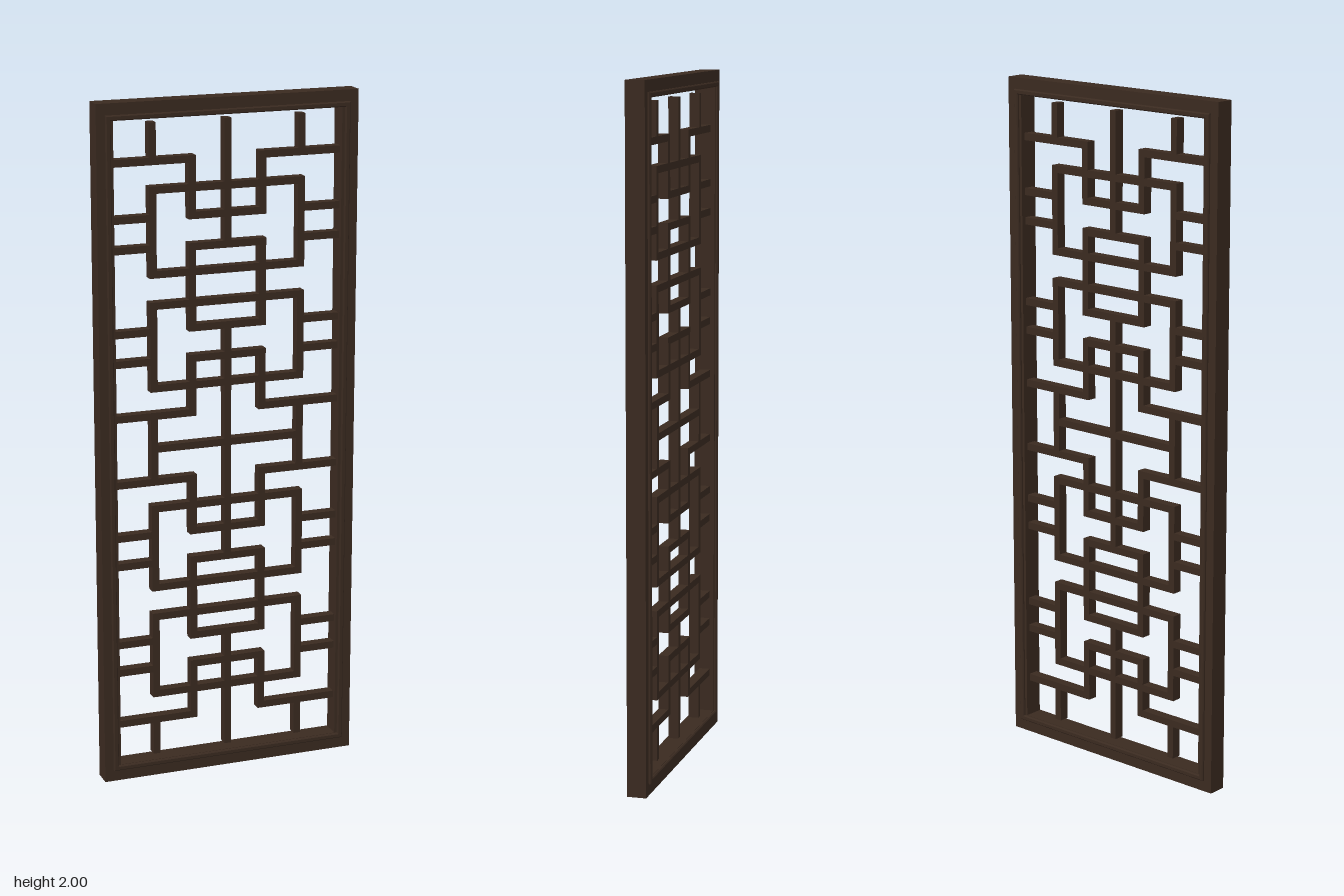
import * as THREE from 'three';

const BAR = 0.021, BAR_DEPTH = 0.03;
const IN_X = 0.342, U = 0.1055, R = 0.222; // opening edge, small and large half widths

export function createModel() {
  const group = new THREE.Group();
  group.name = 'latticePanel';
  const wood = new THREE.MeshStandardMaterial({ color: 0x3a2a20 });
  wood.name = 'darkWood';

  const rect = (Type, hw, hh) => new Type([
    new THREE.Vector2(-hw, 1 - hh), new THREE.Vector2(hw, 1 - hh),
    new THREE.Vector2(hw, 1 + hh), new THREE.Vector2(-hw, 1 + hh)]);

  // Rectangular ring centred on z = 0, with an optional chamfer
  function ring(name, hw, hh, width, depth, bevel = 0) {
    const shape = rect(THREE.Shape, hw - bevel, hh - bevel);
    shape.holes.push(rect(THREE.Path, hw - width + bevel, hh - width + bevel));
    const geo = new THREE.ExtrudeGeometry(shape, {
      depth: depth - 2 * bevel, bevelEnabled: bevel > 0,
      bevelSize: bevel, bevelThickness: bevel, bevelSegments: 1 });
    geo.translate(0, 0, -(depth - 2 * bevel) / 2);
    const mesh = new THREE.Mesh(geo, wood);
    mesh.name = name;
    group.add(mesh);
  }
  ring('outerFrame', 0.388, 1, 0.049, 0.056);
  ring('frameMoulding', 0.362, 0.967, 0.015, 0.071, 0.003);

  const lattice = new THREE.Group();
  lattice.name = 'lattice';
  group.add(lattice);

  // Bar between two centreline points, horizontal or vertical
  function bar(x1, y1, x2, y2, name = 'latticeBar') {
    const geo = new THREE.BoxGeometry(Math.abs(x2 - x1) + BAR, Math.abs(y2 - y1) + BAR, BAR_DEPTH);
    const mesh = new THREE.Mesh(geo, wood);
    mesh.position.set((x1 + x2) / 2, (y1 + y2) / 2, 0);
    mesh.name = name;
    lattice.add(mesh);
  }
  function frame(hw, y1, y2, name) {
    for (const y of [y1, y2]) bar(-hw, y, hw, y, name);
    for (const x of [-hw, hw]) bar(x, y1, x, y2, name);
  }

  // Each motif is mirrored about its own middle
  for (const mid of [1.464, 0.536]) {
    frame(U, mid - 0.117, mid + 0.117, 'smallRectangle');
    for (const s of [1, -1]) {
      const y = (d) => mid + s * d;
      frame(R, y(0.045), y(0.285), 'largeRectangle');
      bar(-U, y(0.206), U, y(0.206), 'steppedBar');
      for (const m of [1, -1]) {
        bar(m * U, y(0.206), m * U, y(0.366), 'steppedBar');
        bar(m * U, y(0.366), m * IN_X, y(0.366), 'steppedBar');
        for (const d of [0.12, 0.206]) bar(m * R, y(d), m * IN_X, y(d), 'sideStub');
        bar(m * R, y(0.366), m * R, y(0.464), 'endStub');
      }
      bar(0, y(0.117), 0, y(0.464), 'centreBar');
    }
  }
  bar(-R, 1, R, 1, 'middleBar');
  return group;
}
